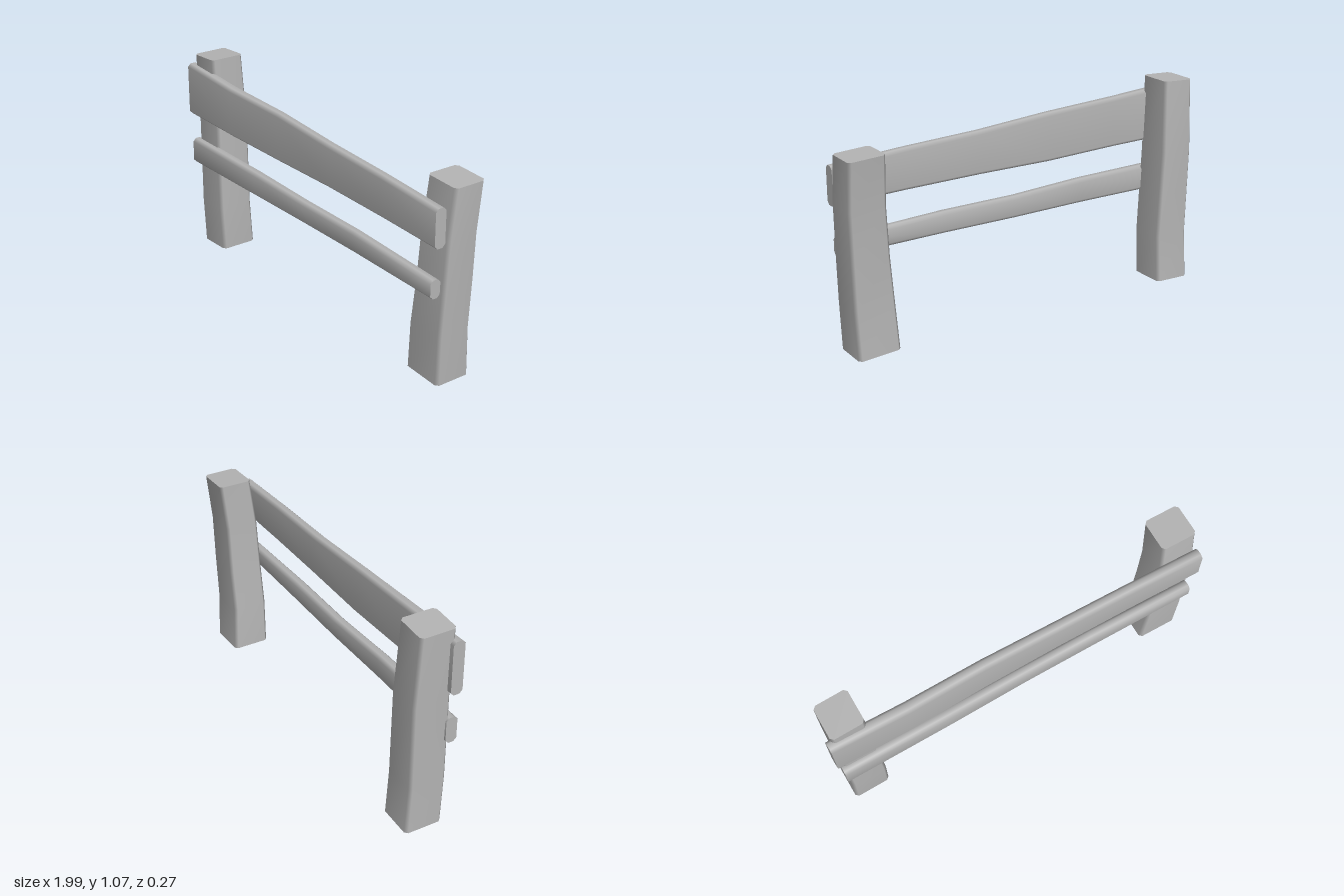
import * as THREE from 'three';

const wood = new THREE.MeshStandardMaterial({ color: 0xb4b4b4 });
wood.name = 'plain grey wood';

// Lofts a beam through bevelled rectangles [t, u0, u1, v0, v1, tilt along v].
// Posts run along y (u = z, v = x), rails along x (u = y, v = z).
function beam(name, sections, bevel, place) {
  const rings = sections.map(([t, u0, u1, v0, v1, tilt = 0]) => {
    const b = bevel, mid = (v0 + v1) / 2;
    return [
      [u1, v0 + b], [u1, v1 - b], [u1 - b, v1], [u0 + b, v1],
      [u0, v1 - b], [u0, v0 + b], [u0 + b, v0], [u1 - b, v0],
    ].map(([u, v]) => place(t + tilt * (v - mid), u, v));
  });
  const n = 8, last = rings.length - 1;
  const positions = [], index = [];
  rings.forEach(r => r.forEach(p => positions.push(...p)));
  for (let s = 0; s < last; s++) {
    for (let i = 0; i < n; i++) {
      const j = (i + 1) % n, a = s * n, c = a + n;
      index.push(a + i, a + j, c + j, a + i, c + j, c + i);
    }
  }
  // End caps have their own vertices so their rims stay sharp
  [0, last].forEach(s => {
    const base = positions.length / 3;
    rings[s].forEach(p => positions.push(...p));
    for (let i = 1; i < n - 1; i++) {
      if (s === 0) index.push(base, base + i + 1, base + i);
      else index.push(base, base + i, base + i + 1);
    }
  });
  const geometry = new THREE.BufferGeometry();
  geometry.setAttribute('position', new THREE.Float32BufferAttribute(positions, 3));
  geometry.setIndex(index);
  geometry.computeVertexNormals();
  const mesh = new THREE.Mesh(geometry, wood);
  mesh.name = name;
  return mesh;
}

const upright = (t, u, v) => [v, t, u];
const across = (t, u, v) => [t, u, v];

export function createModel() {
  const group = new THREE.Group();
  group.name = 'fence';

  // Crooked posts
  group.add(beam('rightPost', [
    [0.005, -0.11, 0.085, -0.963, -0.77, 0.03],
    [0.25, -0.095, 0.098, -0.96, -0.77],
    [0.7, -0.10, 0.093, -0.968, -0.787],
    [1.07, -0.08, 0.102, -0.972, -0.80, 0.05],
  ], 0.015, upright));
  group.add(beam('leftPost', [
    [0.008, -0.112, 0.08, 0.752, 0.97, -0.06],
    [0.25, -0.10, 0.083, 0.766, 0.978],
    [0.48, -0.106, 0.075, 0.787, 0.986],
    [0.73, -0.11, 0.065, 0.80, 0.993],
    [0.975, -0.135, 0.036, 0.808, 0.995, -0.05],
  ], 0.015, upright));

  // Wavy rails fixed to the front of the posts
  group.add(beam('topRail', [
    [-0.995, 0.735, 1.012, 0.07, 0.132, 0.03],
    [-0.6, 0.729, 0.985, 0.072, 0.135],
    [-0.2, 0.72, 0.969, 0.065, 0.124],
    [0.2, 0.722, 0.939, 0.066, 0.124],
    [0.6, 0.716, 0.921, 0.07, 0.128],
    [0.98, 0.705, 0.896, 0.073, 0.132],
  ], 0.016, across));
  group.add(beam('bottomRail', [
    [-0.975, 0.462, 0.598, 0.072, 0.13],
    [-0.4, 0.465, 0.59, 0.07, 0.13],
    [0, 0.462, 0.573, 0.066, 0.124],
    [0.4, 0.462, 0.57, 0.068, 0.126],
    [0.96, 0.454, 0.546, 0.074, 0.13],
  ], 0.016, across));
  return group;
}
